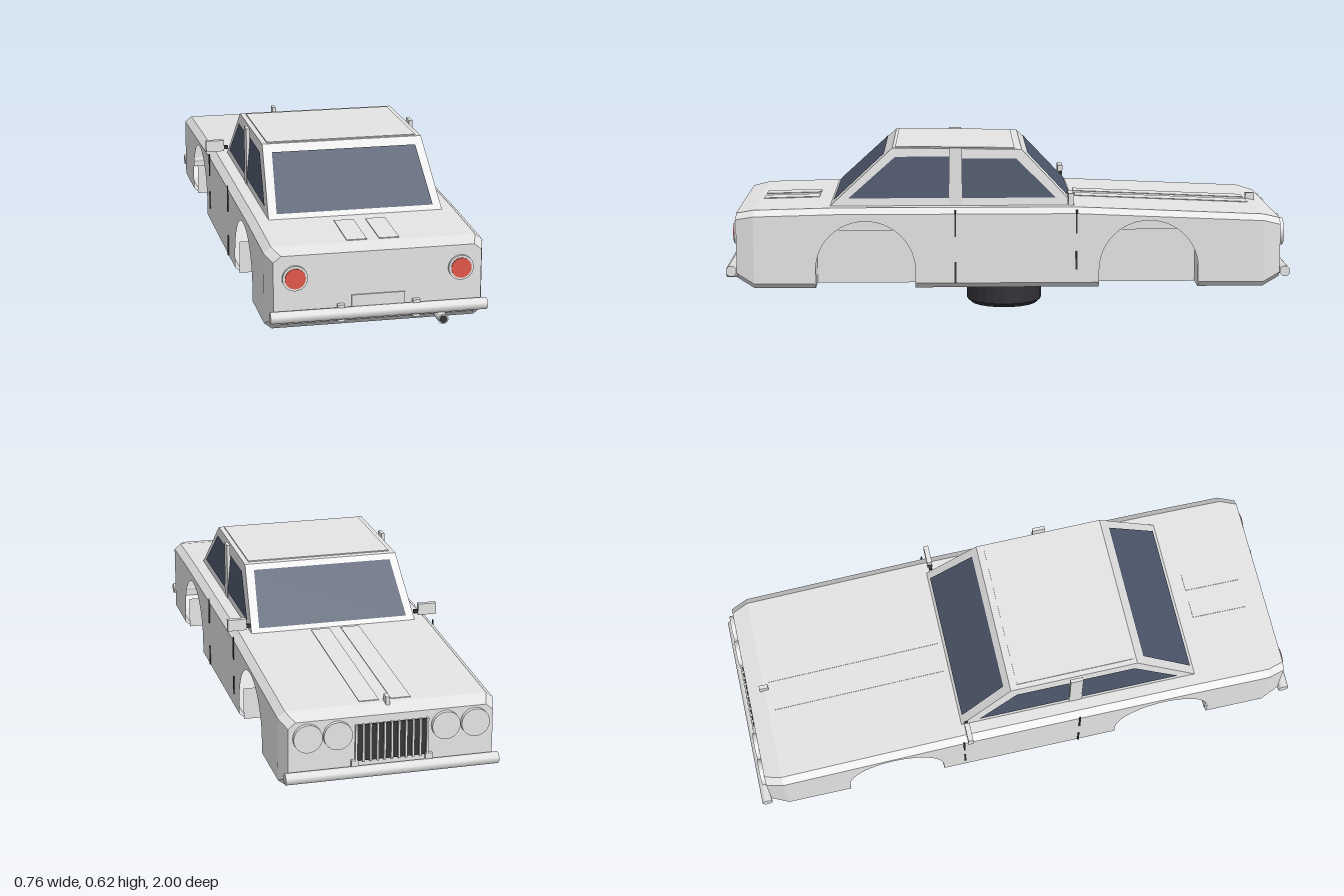
import * as THREE from 'three';
import { ConvexGeometry } from 'three/addons/geometries/ConvexGeometry.js';

const V = (x, y, z) => new THREE.Vector3(x, y, z);
const D = THREE.DoubleSide;
const paint = new THREE.MeshStandardMaterial({ name: 'body grey', color: 0xe4e4e4, side: D });
const glass = new THREE.MeshStandardMaterial({ name: 'window blue', color: 0x4d576b, side: D });
const red = new THREE.MeshStandardMaterial({ name: 'lamp red', color: 0xe2564a });
const dark = new THREE.MeshStandardMaterial({ name: 'dark trim', color: 0x36363a });
const rubber = new THREE.MeshStandardMaterial({ name: 'tyre black', color: 0x323136 });

// Strip surface through rows of points, optionally closed round and capped at one end
function loft(rows, closed = false, cap = -1) {
  const p = [];
  const tri = (...v) => v.forEach(q => p.push(q.x, q.y, q.z));
  for (let i = 0; i + 1 < rows.length; i++) {
    const a = rows[i], b = rows[i + 1], n = a.length;
    for (let j = 0; j < (closed ? n : n - 1); j++) {
      const k = (j + 1) % n;
      tri(a[j], b[j], b[k]);
      tri(a[j], b[k], a[k]);
    }
  }
  if (cap >= 0) {
    const r = rows[cap];
    for (let j = 1; j + 1 < r.length; j++) {
      if (cap === 0) tri(r[0], r[j], r[j + 1]);
      else tri(r[0], r[j + 1], r[j]);
    }
  }
  const g = new THREE.BufferGeometry();
  g.setAttribute('position', new THREE.Float32BufferAttribute(p, 3));
  g.computeVertexNormals();
  return g;
}

export function createModel() {
  const car = new THREE.Group();
  car.name = 'car';
  const add = (name, geo, mat, x = 0, y = 0, z = 0, parent = car) => {
    const m = new THREE.Mesh(geo, mat);
    m.name = name;
    m.position.set(x, y, z);
    parent.add(m);
    return m;
  };
  const box = (name, mat, w, h, d, x, y, z, parent) =>
    add(name, new THREE.BoxGeometry(w, h, d), mat, x, y, z, parent);
  const disc = (name, mat, r, depth, x, y, z) =>
    add(name, new THREE.CylinderGeometry(r, r, depth, 24).rotateX(Math.PI / 2), mat, x, y, z);
  const quad = (name, mat, a, b, c, d) => add(name, loft([[a, b], [d, c]]), mat);

  // Body sections: z, half width, top, bottom
  const IN = 0.025, TOP = 0.02, LOW = 0.02, FLOOR = 0.135, ARCH = 0.175, WELL = 0.25, axles = [-0.5, 0.495];
  const stations = [
    [-0.965, 0.345, 0.375, 0.165], [-0.905, 0.365, 0.392, FLOOR], [-0.245, 0.365, 0.42, FLOOR],
    [0.6, 0.365, 0.42, FLOOR], [0.885, 0.365, 0.413, FLOOR], [0.947, 0.345, 0.4, 0.17],
  ];
  const ring = ([z, w, t, b]) => [
    V(w, t - TOP, z), V(w - IN, t, z), V(IN - w, t, z), V(-w, t - TOP, z),
    V(-w, b + LOW, z), V(IN - w, b, z), V(w - IN, b, z), V(w, b + LOW, z),
  ];
  const rings = stations.map(ring);
  add('nose', loft(rings.slice(0, 2), true, 0), paint);
  add('tail', loft(rings.slice(4), true, 1), paint);
  add('upperBody', loft(rings.slice(1, 5).map(r => r.slice(0, 4))), paint);

  // Side panels with wheel arches
  const side = new THREE.Shape();
  side.moveTo(-0.905, FLOOR + LOW);
  for (const a of axles) {
    side.lineTo(a - ARCH, FLOOR + LOW);
    side.lineTo(a - ARCH, 0.2);
    side.absarc(a, 0.2, ARCH, Math.PI, 0, true);
    side.lineTo(a + ARCH, FLOOR + LOW);
  }
  side.lineTo(0.885, FLOOR + LOW);
  for (const i of [4, 3, 2, 1]) side.lineTo(stations[i][0], stations[i][2] - TOP);
  const panel = new THREE.ShapeGeometry(side, 12).rotateY(-Math.PI / 2);

  // Floor notched at the wheel wells
  const fw = 0.365 - IN, floor = new THREE.Shape();
  floor.moveTo(-fw, -0.905);
  floor.lineTo(fw, -0.905);
  const notch = (s, list, d) => list.forEach(a => {
    floor.lineTo(s * fw, a - d * ARCH);
    floor.lineTo(s * WELL, a - d * ARCH);
    floor.lineTo(s * WELL, a + d * ARCH);
    floor.lineTo(s * fw, a + d * ARCH);
  });
  notch(1, axles, 1);
  floor.lineTo(fw, 0.885);
  floor.lineTo(-fw, 0.885);
  notch(-1, [...axles].reverse(), -1);
  add('floor', new THREE.ShapeGeometry(floor).rotateX(Math.PI / 2), paint, 0, FLOOR, 0);

  // Cabin
  const cabin = [];
  for (const s of [-1, 1]) {
    cabin.push(V(s * 0.3, 0.415, 0.625), V(s * 0.3, 0.415, -0.245),
      V(s * 0.28, 0.622, 0.4), V(s * 0.28, 0.616, -0.055));
  }
  add('cabin', new ConvexGeometry(cabin), paint);
  box('roofPanel', paint, 0.524, 0.004, 0.42, 0, 0.621, 0.18).rotation.x = -0.013;

  // Front and rear glass lie just above the sloping cabin faces
  const rear = (x, y) => V(x, y, 0.631 - 0.225 * (y - 0.415) / 0.207);
  const front = (x, y) => V(x, y, -0.251 + 0.19 * (y - 0.415) / 0.201);
  for (const [name, f] of [['rearWindow', rear], ['windscreen', front]])
    quad(name, glass, f(-0.27, 0.435), f(0.27, 0.435), f(0.252, 0.6), f(-0.252, 0.6));

  for (const s of [-1, 1]) {
    add('sidePanel', panel, paint, s * 0.365);
    const ends = [-0.905, ...axles.flatMap(a => [a - ARCH, a + ARCH]), 0.885];
    for (let i = 0; i < 6; i += 2) {
      add('sill', loft([ends[i], ends[i + 1]].map(z =>
        [V(s * 0.365, FLOOR + LOW, z), V(s * fw, FLOOR, z)])), paint);
    }
    // Wheel well walls
    for (const a of axles) {
      const w = s * WELL, o = s * 0.35;
      quad('wellInnerWall', paint, V(w, FLOOR, a - ARCH), V(w, FLOOR, a + ARCH),
        V(w, 0.325, a + ARCH), V(w, 0.325, a - ARCH));
      for (const z of [a - ARCH, a + ARCH])
        quad('wellEndWall', paint, V(w, FLOOR, z), V(o, FLOOR, z), V(o, 0.25, z), V(w, 0.25, z));
    }
    // Side glass and door pillar
    const g = (z, y) => V(s * (0.304 - 0.02 * (y - 0.415) / 0.207), y, z);
    quad('rearSideWindow', glass, g(0.555, 0.447), g(0.2, 0.447), g(0.2, 0.592), g(0.39, 0.592));
    quad('frontSideWindow', glass, g(0.155, 0.447), g(-0.175, 0.447), g(-0.035, 0.585), g(0.155, 0.585));
    box('doorPillar', paint, 0.012, 0.205, 0.045, s * 0.295, 0.522, 0.178);
    // Door seams
    box('rearDoorSeam', dark, 0.004, 0.095, 0.006, s * 0.367, 0.368, 0.18);
    box('rearDoorSeam', dark, 0.004, 0.075, 0.006, s * 0.367, 0.193, 0.18);
    box('frontDoorSeam', dark, 0.004, 0.085, 0.006, s * 0.367, 0.373, -0.245);
    box('frontDoorSeam', dark, 0.004, 0.065, 0.006, s * 0.367, 0.235, -0.245);
    // Mirrors
    box('mirror', paint, 0.067, 0.041, 0.018, s * 0.349, 0.453, -0.223);
    box('mirrorStem', dark, 0.02, 0.012, 0.012, s * 0.31, 0.445, -0.223);
    // Lamps
    disc('tailLampRing', paint, 0.042, 0.02, s * 0.275, 0.325, 0.947);
    disc('tailLamp', red, 0.034, 0.008, s * 0.275, 0.325, 0.956);
    for (const x of [0.182, 0.282]) disc('headlamp', paint, 0.048, 0.024, s * x, 0.32, -0.968);
    // Raised strips on the bonnet and boot
    box('bonnetStrip', paint, 0.067, 0.004, 0.63, s * 0.054, 0.4065, -0.57).rotation.x = -0.0424;
    box('bootStrip', paint, 0.067, 0.004, 0.2, s * 0.054, 0.4165, 0.77).rotation.x = 0.0245;
    // Bumper brackets
    for (const z of [0.95, -0.963]) box('bumperBracket', paint, 0.024, 0.058, 0.03, s * 0.125, 0.199, z);
  }

  // Grille, bonnet ornament and number plate
  box('grilleBack', dark, 0.24, 0.125, 0.008, 0, 0.285, -0.966);
  for (let i = 0; i <= 10; i++) box('grilleBar', paint, 0.007, 0.13, 0.012, -0.12 + i * 0.024, 0.285, -0.97);
  box('bonnetOrnament', paint, 0.014, 0.035, 0.032, 0, 0.398, -0.905);
  box('plate', paint, 0.176, 0.04, 0.006, 0, 0.235, 0.949);

  // Bumpers run straight across the car
  for (const [name, y, z] of [['frontBumper', 0.19, -0.982], ['rearBumper', 0.2, 0.965]])
    add(name, new THREE.CylinderGeometry(0.0195, 0.0195, 0.72, 8).rotateY(Math.PI / 8).rotateZ(Math.PI / 2),
      paint, 0, y, z);

  // Exhaust
  disc('exhaustPipe', paint, 0.017, 0.1, 0.207, 0.166, 0.946);
  disc('exhaustOpening', dark, 0.013, 0.004, 0.207, 0.166, 0.996);

  // Single wheel lying flat under the floor
  const wheel = new THREE.Group();
  wheel.name = 'wheel';
  wheel.position.y = 0.067;
  car.add(wheel);
  const tyre = [[0.07, -0.053], [0.122, -0.053], [0.137, -0.038], [0.137, 0.038], [0.122, 0.053], [0.07, 0.053]];
  const tyreGeo = new THREE.LatheGeometry(tyre.map(p => new THREE.Vector2(...p)), 24).toNonIndexed();
  tyreGeo.computeVertexNormals();
  add('tyre', tyreGeo, rubber, 0, 0, 0, wheel);
  add('rim', new THREE.CylinderGeometry(0.081, 0.081, 0.116, 24), paint, 0, 0, 0, wheel);
  add('hub', new THREE.CylinderGeometry(0.018, 0.018, 0.132, 12), paint, 0, 0, 0, wheel);
  for (const s of [-1, 1]) {
    for (let i = 0; i < 8; i++) {
      const a = i * Math.PI / 4;
      const slot = box('rimSlot', dark, 0.036, 0.004, 0.016,
        0.05 * Math.cos(a), s * 0.058, -0.05 * Math.sin(a), wheel);
      slot.rotation.y = a;
    }
  }
  return car;
}
